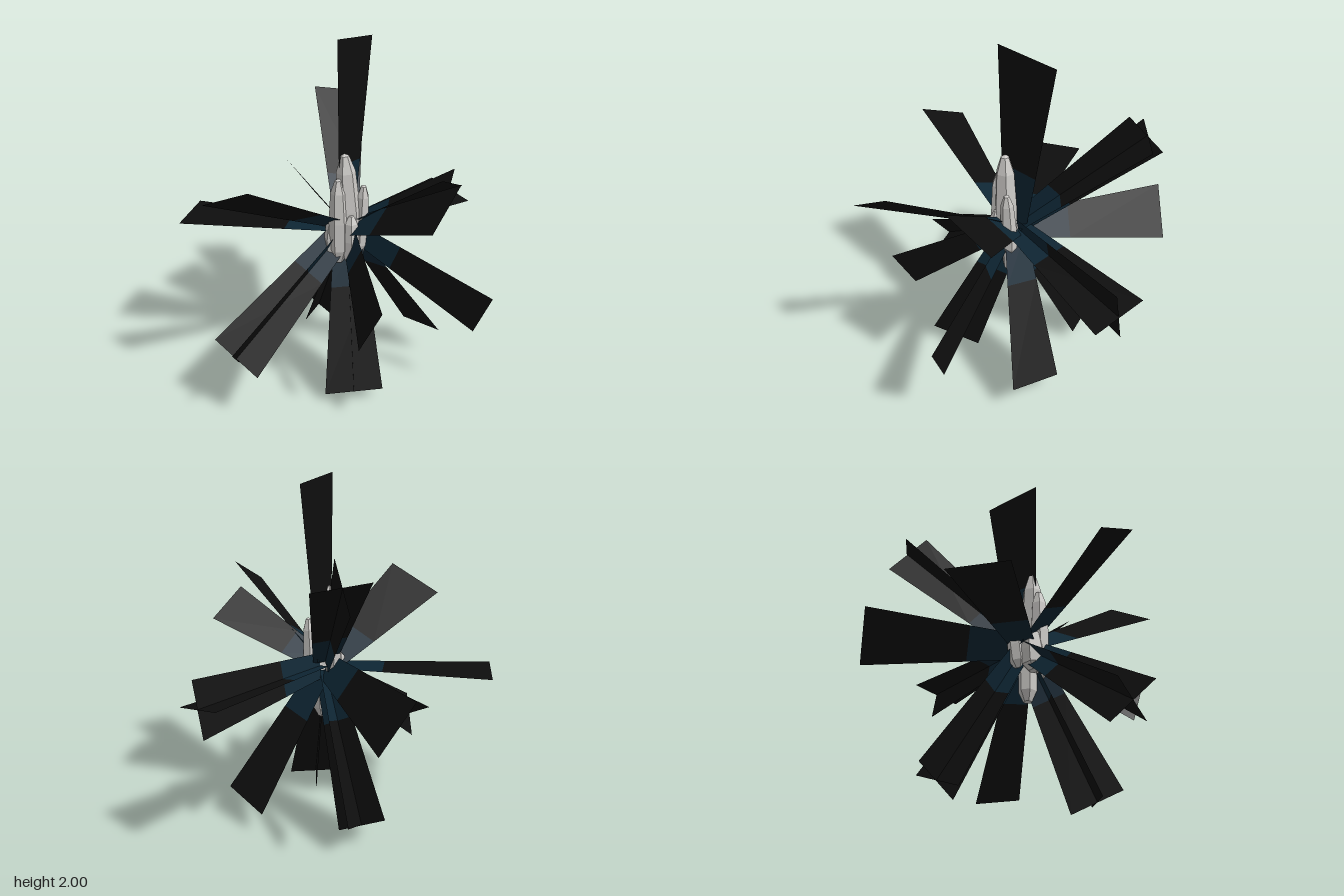
import * as THREE from 'three';

const V = (a) => new THREE.Vector3(...a);
const CENTRE = V([0.04, 0.93, 0.02]);

const black = new THREE.MeshStandardMaterial({ color: 0x0e0e0e, side: THREE.DoubleSide });
black.name = 'black';
const darkBlue = new THREE.MeshStandardMaterial({ color: 0x0e2634, side: THREE.DoubleSide });
darkBlue.name = 'darkBlue';
const paleGrey = new THREE.MeshStandardMaterial({ color: 0xcac8c5, flatShading: true });
paleGrey.name = 'paleGrey';

// Flat four-cornered panel
function panel(name, a, b, c, d, material) {
  const g = new THREE.BufferGeometry().setFromPoints([a, b, c, d]);
  g.setIndex([0, 1, 2, 0, 2, 3]);
  g.computeVertexNormals();
  const m = new THREE.Mesh(g, material);
  m.name = name;
  return m;
}

// Flat ray widening outwards from the centre to the two tip corners p and q
function ray(p, q) {
  const group = new THREE.Group();
  group.name = 'ray';
  const tip = p.clone().add(q).multiplyScalar(0.5);
  const half = p.clone().sub(q).multiplyScalar(0.5);
  const edge = (t, side) => CENTRE.clone().lerp(tip, t)
    .addScaledVector(half, side * (0.44 + 0.56 * t));
  const strip = (name, t0, t1, mat) =>
    panel(name, edge(t0, -1), edge(t1, -1), edge(t1, 1), edge(t0, 1), mat);
  group.add(strip('rayRoot', 0.04, 0.36, darkBlue), strip('rayBlade', 0.36, 1, black));
  return group;
}

// Tip corners of every ray
const RAYS = [
  // upright
  [[0.04, 2.0, 0.115], [0.04, 1.96, -0.24]],
  // back, upper right: crossed pair
  [[-0.28, 1.65, -0.476], [-0.435, 1.415, -0.615]],
  [[-0.476, 1.55, -0.46], [-0.24, 1.51, -0.65]],
  // back: crossed pair
  [[0.153, 0.93, -0.876], [0.45, 0.87, -0.785]],
  [[0.33, 1.05, -0.82], [0.27, 0.74, -0.83]],
  // upper side and upper front
  [[0.785, 1.43, 0.225], [0.77, 1.28, 0.495]],
  [[-0.05, 1.4, 0.77], [-0.37, 1.25, 0.74]],
  [[0.6, 1.2, -0.27], [0.6, 1.33, 0.014]],
  // front low: crossed pair
  [[-0.34, 0.47, 0.765], [-0.06, 0.33, 0.77]],
  [[-0.14, 0.5, 0.865], [-0.26, 0.29, 0.675]],
  // lower right: crossed pair
  [[-0.48, 0.2, -0.26], [-0.2, 0.06, -0.26]],
  [[-0.35, 0.085, -0.11], [-0.33, 0.18, -0.405]],
  // lower left: crossed pair
  [[0.14, 0.06, 0.42], [0.4, 0.07, 0.22]],
  [[0.2, 0.0, 0.2], [0.34, 0.125, 0.44]],
  // lower back and sides
  [[0.5, 0.19, -0.316], [0.21, 0.13, -0.42]],
  [[0.89, 0.66, -0.096], [0.8, 0.43, -0.08]],
  [[0.54, 0.79, 0.517], [0.4, 0.51, 0.5]],
  [[-0.72, 1.01, -0.483], [-0.59, 0.75, -0.617]],
  [[-0.895, 0.935, 0.19], [-0.79, 0.935, 0.49]],
];

// Six-sided crystal with blunt pointed ends, from bottom point to top point
function crystal(bottom, top, radius, turn) {
  const h = top.distanceTo(bottom);
  const profile = [[0, 0], [0.45, 0.02], [0.95, 0.17], [1, 0.5], [0.8, 0.84], [0.35, 0.98], [0, 1]]
    .map(([r, y]) => new THREE.Vector2(r * radius, y * h));
  const m = new THREE.Mesh(new THREE.LatheGeometry(profile, 6, turn), paleGrey);
  m.name = 'crystal';
  m.position.copy(bottom);
  m.quaternion.setFromUnitVectors(new THREE.Vector3(0, 1, 0),
    top.clone().sub(bottom).normalize());
  return m;
}

// Bottom point, top point, radius, turn
const CRYSTALS = [
  [[0.085, 0.73, 0.04], [0.055, 1.39, 0.07], 0.068, 0.2],
  [[0.11, 0.76, 0.0], [0.135, 1.2, 0.0], 0.045, 0.5],
  [[0.05, 0.75, 0.12], [0.045, 1.26, 0.12], 0.055, 0.1],
  [[-0.01, 0.78, 0.02], [-0.04, 1.06, 0.0], 0.05, 0.4],
  [[0.02, 0.76, 0.1], [0.01, 1.01, 0.09], 0.07, 0.8],
  [[0.06, 0.6, 0.03], [0.08, 1.0, 0.02], 0.055, 0.3],
  [[0.11, 0.74, 0.09], [0.11, 1.05, 0.09], 0.05, 0.6],
];

export function createModel() {
  const model = new THREE.Group();
  model.name = 'crystalBurst';

  const rays = new THREE.Group();
  rays.name = 'rays';
  RAYS.forEach(([p, q]) => rays.add(ray(V(p), V(q))));

  const core = new THREE.Group();
  core.name = 'crystalCluster';
  CRYSTALS.forEach(([b, t, r, turn]) => core.add(crystal(V(b), V(t), r, turn)));

  model.add(rays, core);
  return model;
}
